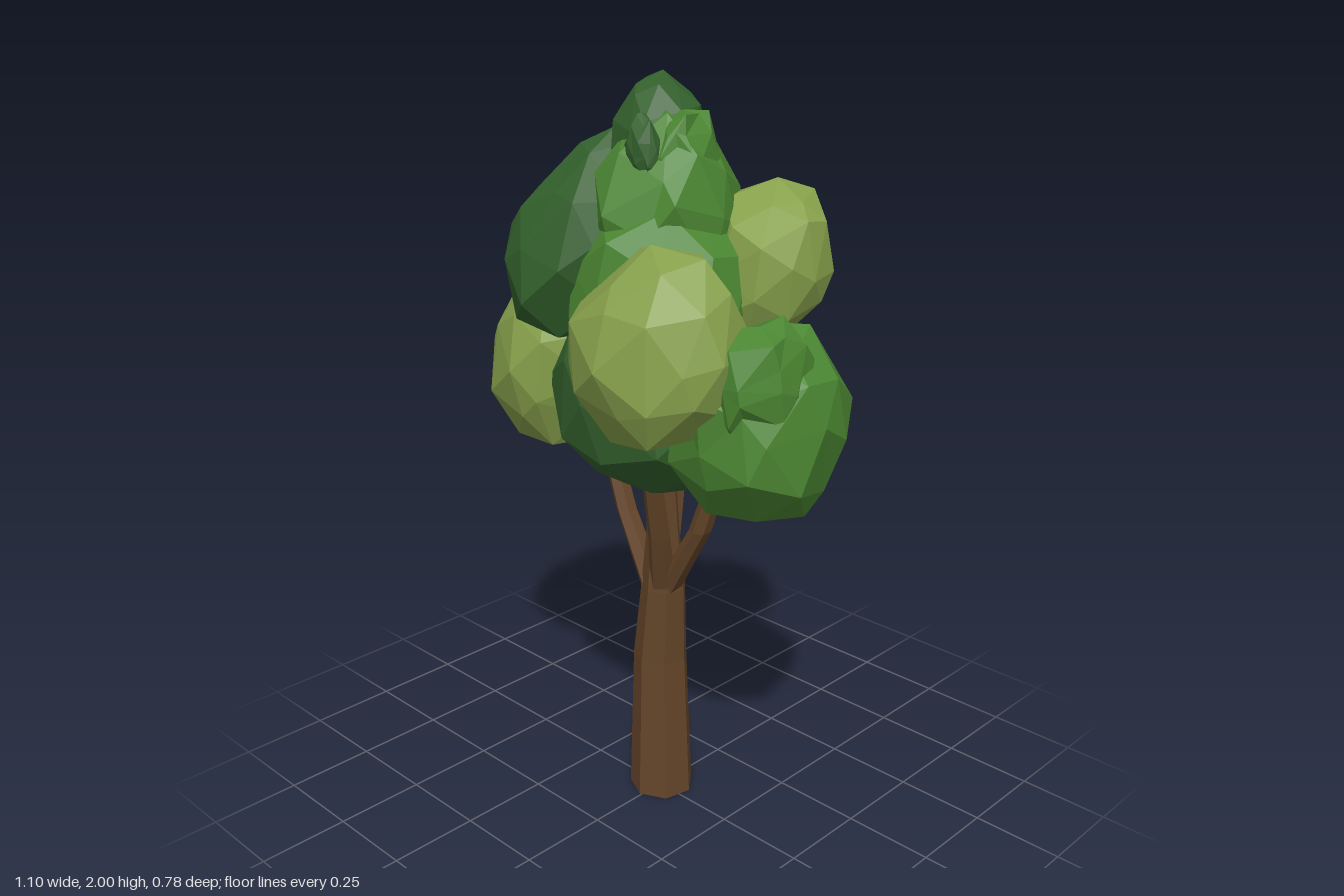
import * as THREE from 'three';

const material = (color) => new THREE.MeshStandardMaterial({ color, flatShading: true });

// Repeatable 0..1 value for a vertex direction, so shared corners move together
function hash(x, y, z, seed) {
  const s = Math.sin(Math.round(x * 100) * 12.9898 + Math.round(y * 100) * 78.233
    + Math.round(z * 100) * 37.719 + seed * 4.581) * 43758.5453;
  return s - Math.floor(s);
}

// Tapered limb: each ring of a cylinder is moved to a point [x, y, z, radius], listed from the bottom up
function limb(name, rings, sides, mat) {
  const n = rings.length - 1;
  const geo = new THREE.CylinderGeometry(1, 1, n, sides, n);
  const pos = geo.attributes.position;
  for (let i = 0; i < pos.count; i++) {
    const [x, y, z, r] = rings[Math.round(pos.getY(i) + n / 2)];
    pos.setXYZ(i, x + pos.getX(i) * r, y, z + pos.getZ(i) * r);
  }
  geo.computeVertexNormals();
  const mesh = new THREE.Mesh(geo, mat);
  mesh.name = name;
  return mesh;
}

// Faceted leaf clump: an icosphere with shaken corners, stretched to size.
// taper widens (+) or narrows (-) the top; lean shifts the top by [x, z].
function clump({ name, at, size, mat, rough = 0.13, taper = 0, lean = [0, 0] }, seed) {
  const geo = new THREE.IcosahedronGeometry(1, 1);
  const pos = geo.attributes.position;
  const v = new THREE.Vector3();
  const shake = new THREE.Vector3();
  for (let i = 0; i < pos.count; i++) {
    v.fromBufferAttribute(pos, i);
    const h = (k) => hash(v.x, v.y, v.z, seed + k * 31);
    shake.set(h(1) - 0.5, h(2) - 0.5, h(3) - 0.5).multiplyScalar(rough * 2.5);
    v.add(shake).normalize().multiplyScalar(1.04 - rough * h(4));
    const widen = 1 + taper * v.y;
    pos.setXYZ(i, v.x * widen * size[0] + lean[0] * v.y, v.y * size[1],
      v.z * widen * size[2] + lean[1] * v.y);
  }
  geo.computeVertexNormals();
  const mesh = new THREE.Mesh(geo, mat);
  mesh.position.set(...at);
  mesh.name = name;
  return mesh;
}

export function createModel() {
  const tree = new THREE.Group();
  tree.name = 'tree';
  const bark = material(0x644529);
  const dark = material(0x33602c);
  const green = material(0x4b8632);
  const light = material(0x86a04b);

  // Trunk with a slight bend
  tree.add(limb('trunk', [
    [-0.006, 0, -0.014, 0.091], [-0.012, 0.42, -0.015, 0.076],
    [0.006, 0.64, -0.008, 0.062], [0.004, 0.8, -0.008, 0.046], [0, 1.05, 0, 0.038],
  ], 7, bark));

  // Branches fanning up into the crown
  const branches = [
    ['leftBranch', [0.02, 0.63, 0], [0.15, 0.85, 0.005], [0.215, 1.04, 0]],
    ['rightBranch', [-0.015, 0.61, 0], [-0.13, 0.83, 0], [-0.215, 1.04, -0.01]],
    ['frontBranch', [0.02, 0.65, 0.01], [0.055, 0.82, 0.06], [0.08, 1.05, 0.12]],
    ['backBranch', [-0.01, 0.65, -0.02], [-0.03, 0.82, -0.075], [-0.06, 1.05, -0.14]],
  ];
  for (const [name, a, b, c] of branches) {
    tree.add(limb(name, [[...a, 0.037], [...b, 0.03], [...c, 0.026]], 6, bark));
  }

  // Leaf clumps, lowest first
  const clumps = [
    { name: 'lowerCore', at: [0, 1.2, 0], size: [0.31, 0.275, 0.28], mat: dark, rough: 0.08 },
    { name: 'rightClump', at: [-0.355, 1.235, 0], size: [0.21, 0.27, 0.225], mat: light, taper: -0.1 },
    { name: 'rightClumpTuft', at: [-0.39, 1.32, -0.12], size: [0.14, 0.21, 0.165], mat: light, rough: 0.22 },
    { name: 'leftClump', at: [0.335, 1.2, 0], size: [0.22, 0.27, 0.24], mat: green },
    { name: 'leftClumpTuft', at: [0.405, 1.325, 0.08], size: [0.12, 0.175, 0.145], mat: green, rough: 0.22 },
    { name: 'backClump', at: [-0.195, 1.3, -0.18], size: [0.245, 0.29, 0.215], mat: dark,
      taper: 0.06, lean: [0, -0.02] },
    { name: 'frontClump', at: [0.182, 1.39, 0.185], size: [0.23, 0.265, 0.215], mat: light, taper: -0.06 },
    { name: 'upperBackClump', at: [0.205, 1.54, -0.145], size: [0.195, 0.21, 0.165], mat: light,
      taper: 0.12, lean: [0, -0.045] },
    { name: 'upperFrontClump', at: [-0.18, 1.595, 0.085], size: [0.195, 0.27, 0.205], mat: dark,
      taper: -0.15, lean: [0.05, -0.05] },
    { name: 'upperCore', at: [0.03, 1.48, 0], size: [0.27, 0.28, 0.26], mat: green },
    { name: 'crown', at: [0.015, 1.68, 0], size: [0.21, 0.25, 0.2], mat: green,
      rough: 0.16, taper: -0.2 },
    { name: 'crownSideTuft', at: [0.09, 1.8, 0], size: [0.075, 0.135, 0.11], mat: green, rough: 0.22 },
    { name: 'crownFrontTuft', at: [0.04, 1.835, 0.1], size: [0.055, 0.095, 0.045], mat: dark,
      rough: 0.2, taper: -0.4 },
    { name: 'top', at: [-0.025, 1.865, -0.015], size: [0.12, 0.135, 0.125], mat: dark,
      rough: 0.13, taper: -0.15, lean: [0.01, 0] },
  ];
  clumps.forEach((spec, i) => tree.add(clump(spec, i + 1)));
  return tree;
}
